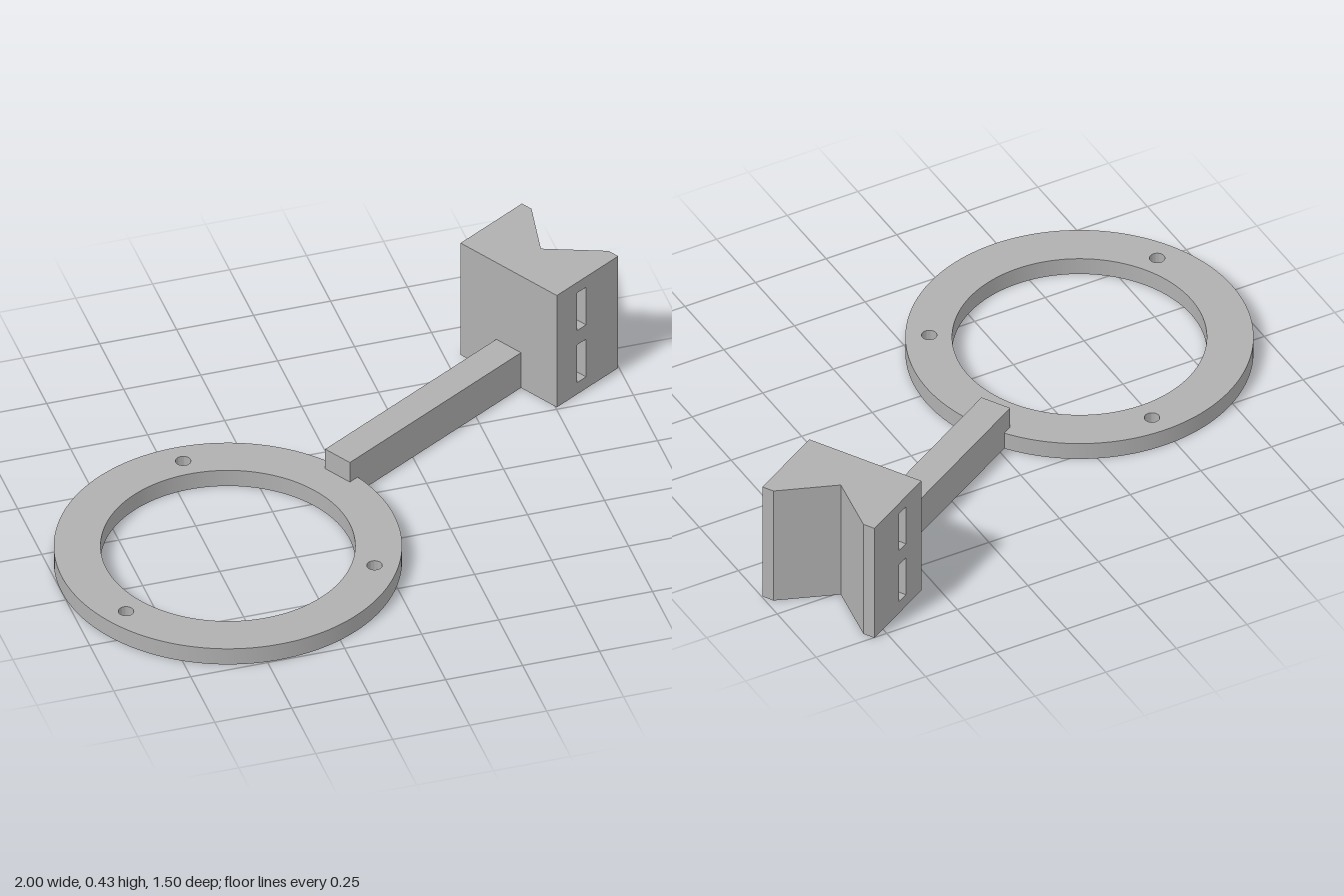
import * as THREE from 'three';
import { toCreasedNormals } from 'three/addons/utils/BufferGeometryUtils.js';

const grey = new THREE.MeshStandardMaterial({ color: 0xb0b0b0 });
grey.name = 'grey plastic';

// Upright prism: a plan shape (x, -z) raised from y0 to y1
function prism(name, shape, y0, y1) {
  let geo = new THREE.ExtrudeGeometry(shape, { depth: y1 - y0, bevelEnabled: false, curveSegments: 96 });
  geo.rotateX(-Math.PI / 2).translate(0, y0, 0);
  geo = toCreasedNormals(geo, Math.PI / 6);
  const mesh = new THREE.Mesh(geo, grey);
  mesh.name = name;
  return mesh;
}

const plan = (points) => new THREE.Shape(points.map(([x, z]) => new THREE.Vector2(x, -z)));

export function createModel() {
  const model = new THREE.Group();
  model.name = 'ringBracket';

  // Flat mounting ring with three screw holes
  const ringShape = new THREE.Shape().absarc(0, 0, 0.54, 0, Math.PI * 2, false);
  ringShape.holes.push(new THREE.Path().absarc(0, 0, 0.395, 0, Math.PI * 2, true));
  for (let i = 0; i < 3; i++) {
    const a = Math.PI / 2 + (i * Math.PI * 2) / 3;
    ringShape.holes.push(
      new THREE.Path().absarc(0.466 * Math.cos(a), 0.466 * Math.sin(a), 0.024, 0, Math.PI * 2, true));
  }
  const ring = prism('mountingRing', ringShape, 0, 0.06);
  ring.position.set(-0.46, 0, 0.207);
  model.add(ring);

  // Arm and clamp run along local x, turned 30 degrees towards the back
  const arm = new THREE.Group();
  arm.name = 'armAssembly';
  arm.rotation.y = Math.PI / 6;
  arm.position.set(0.026 - 0.052 / 2, 0, 0);
  model.add(arm);

  const mid = -0.051;
  const bar = new THREE.Mesh(new THREE.BoxGeometry(0.79, 0.135, 0.104), grey);
  bar.name = 'armBar';
  bar.position.set(0.395, 0.0675, mid);
  arm.add(bar);

  // Clamp block with a V groove, in layers that leave two strap slots open
  const clamp = new THREE.Group();
  clamp.name = 'clampBlock';
  clamp.position.z = mid;
  arm.add(clamp);

  const back = 0.783, front = 1.064, half = 0.203, slot0 = 0.876, slot1 = 0.917;
  const vFrom = (x) => plan([
    [x, half], [front, half], [front, half - 0.04], [0.93, 0],
    [front, -half + 0.04], [front, -half], [x, -half],
  ]);
  const rear = plan([[back, half], [slot0, half], [slot0, -half], [back, -half]]);

  for (const [y0, y1] of [[0, 0.045], [0.19, 0.245], [0.39, 0.43]])
    clamp.add(prism('clampLayer', vFrom(back), y0, y1));
  for (const [y0, y1] of [[0.045, 0.19], [0.245, 0.39]]) {
    clamp.add(prism('slotRearWall', rear, y0, y1));
    clamp.add(prism('slotGrooveWall', vFrom(slot1), y0, y1));
  }
  return model;
}
